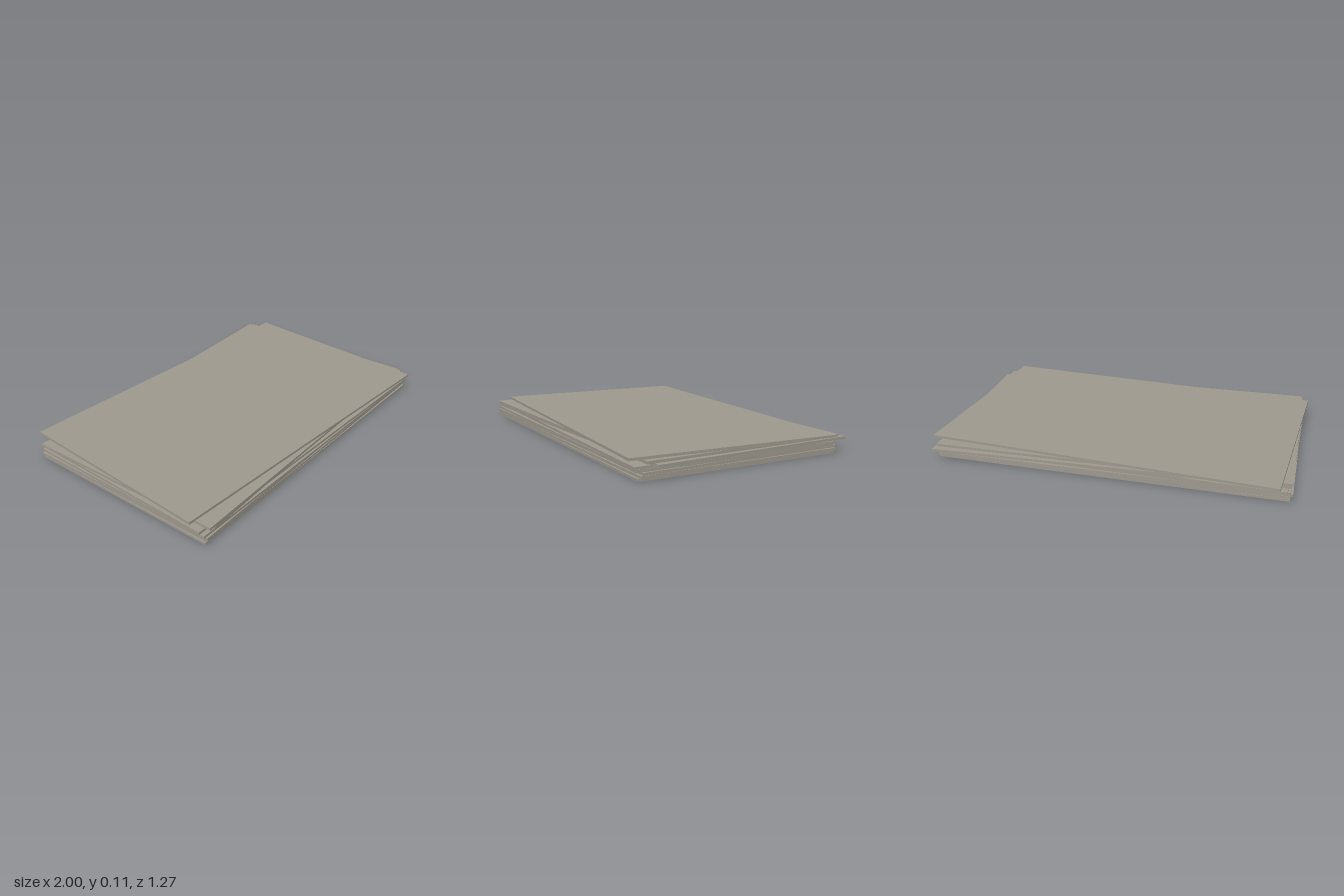
import * as THREE from 'three';

// A loose stack of thin rectangular sheets, each slightly turned and shifted.
const WIDTH = 1.928, DEPTH = 1.157, THICKNESS = 0.0136;

// From bottom to top: [centre x, centre z, turn about y]
const SHEETS = [
  [-0.017, 0.02, 0.002],
  [-0.013, 0.017, 0.01],
  [-0.02, 0.012, 0.018],
  [-0.02, 0.022, -0.004],
  [-0.015, 0.012, -0.02],
  [0.01, -0.011, 0.048],
  [-0.012, 0.008, 0.028],
  [-0.005, -0.002, -0.057],
];

export function createModel() {
  const group = new THREE.Group();
  group.name = 'sheetStack';

  const sheetGrey = new THREE.MeshStandardMaterial({ color: 0x9f9a8f });
  sheetGrey.name = 'warm grey';
  const geometry = new THREE.BoxGeometry(WIDTH, THICKNESS, DEPTH);

  SHEETS.forEach(([x, z, turn], i) => {
    const sheet = new THREE.Mesh(geometry, sheetGrey);
    sheet.name = `sheet${i + 1}`;
    sheet.position.set(x, (i + 0.5) * THICKNESS, z);
    sheet.rotation.y = turn;
    group.add(sheet);
  });
  return group;
}
